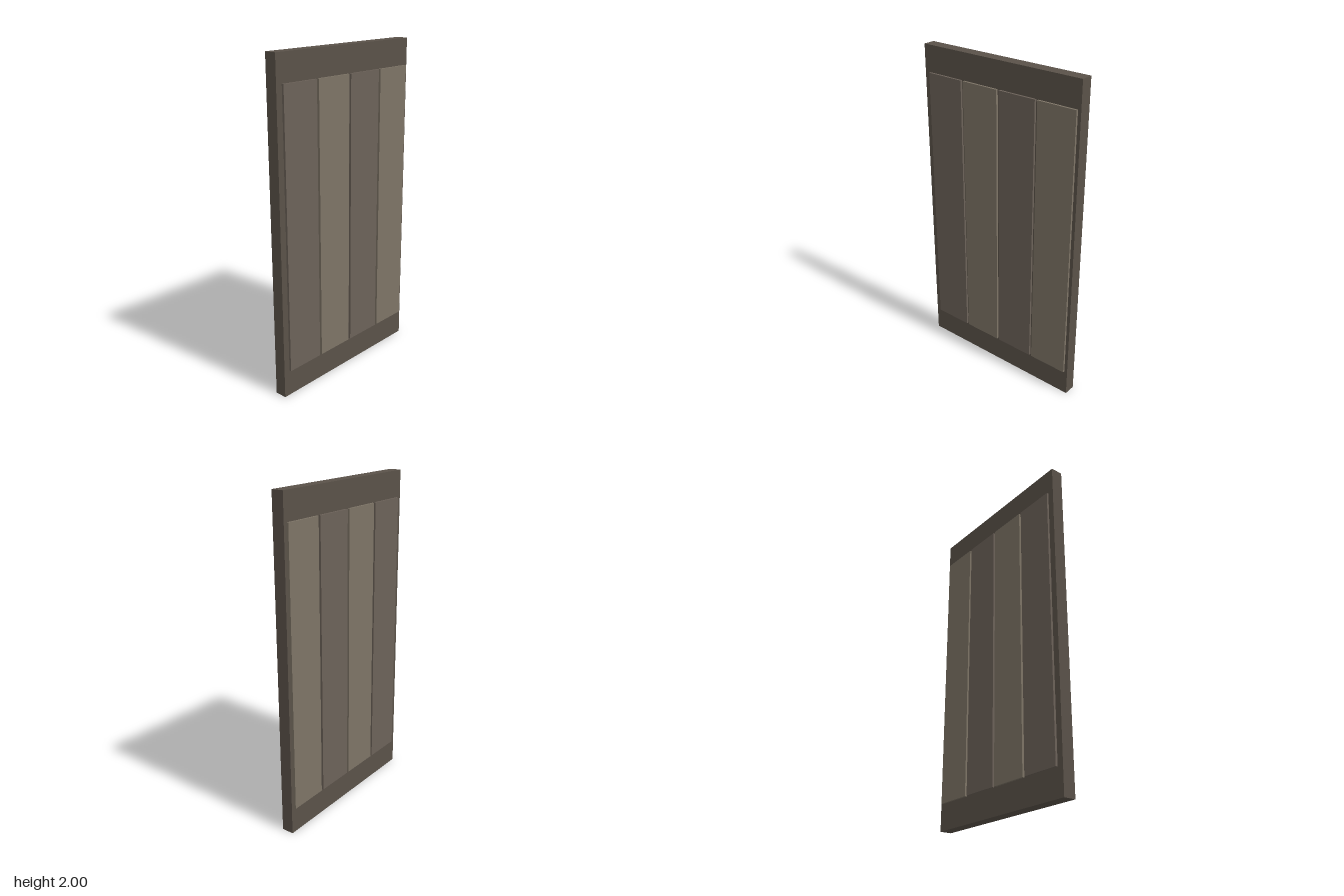
import * as THREE from 'three';

export function createModel() {
  const group = new THREE.Group();
  const material = (color) => new THREE.MeshStandardMaterial({ color, flatShading: true });
  const coreMaterial = material(0x5a5249);
  const plankMaterials = [material(0x7d7466), material(0x6c6259)];

  function box(name, size, position, mat) {
    const mesh = new THREE.Mesh(new THREE.BoxGeometry(...size), mat);
    mesh.name = name;
    mesh.position.set(...position);
    group.add(mesh);
  }

  // Core slab of the door
  const coreHalf = 0.037;
  box('doorSlab', [coreHalf * 2, 2, 1.1], [0, 1, 0], coreMaterial);

  // Four raised planks on each face, alternating in tone
  const plankDepth = 0.013, plankWidth = 0.248, pitch = 0.264, firstZ = -0.406;
  for (const side of [1, -1]) {
    for (let i = 0; i < 4; i++) {
      box(
        `${side > 0 ? 'left' : 'right'}Plank${i + 1}`,
        [plankDepth, 1.676, plankWidth],
        [side * (coreHalf + plankDepth / 2), 1, firstZ + i * pitch],
        plankMaterials[i % 2]
      );
    }
  }

  return group;
}
